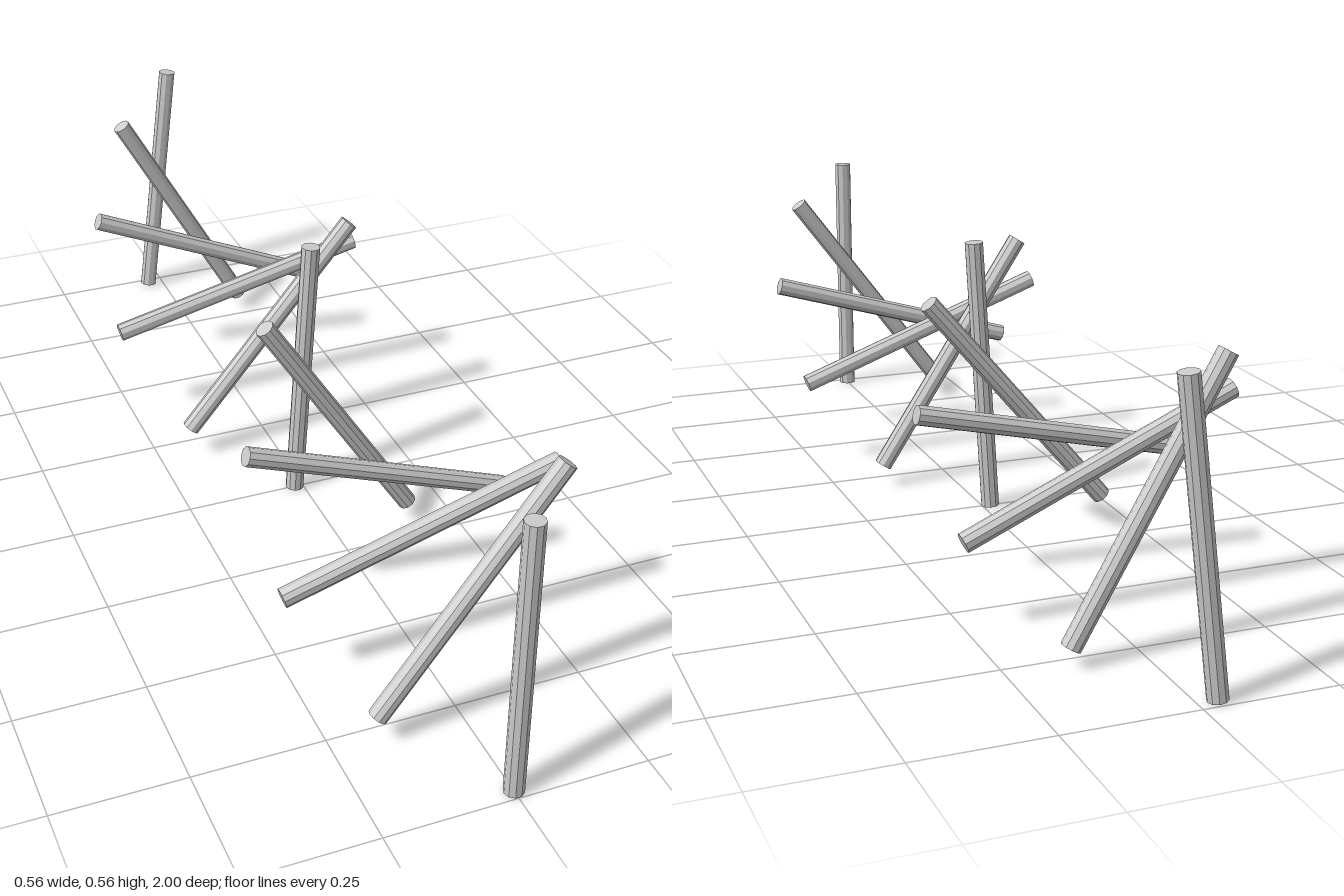
import * as THREE from 'three';

const COUNT = 11;        // rods along the spiral
const LENGTH = 0.561;
const RADIUS = 0.019;
const SPACING = 0.1962;
const TWIST = THREE.MathUtils.degToRad(36.73); // turn from one rod to the next

export function createModel() {
  const model = new THREE.Group();
  model.name = 'twistedRodRow';

  const material = new THREE.MeshStandardMaterial({ color: 0xcccccc, flatShading: true });
  const geometry = new THREE.CylinderGeometry(RADIUS, RADIUS, LENGTH, 10, 1, false, Math.PI / 2);

  // Rods step from front to back, each turned clockwise about the z axis
  for (let i = 0; i < COUNT; i++) {
    const rod = new THREE.Mesh(geometry, material);
    rod.name = `rod${i + 1}`;
    rod.position.set(0, LENGTH / 2, ((COUNT - 1) / 2 - i) * SPACING);
    rod.rotation.z = -i * TWIST;
    model.add(rod);
  }
  return model;
}
